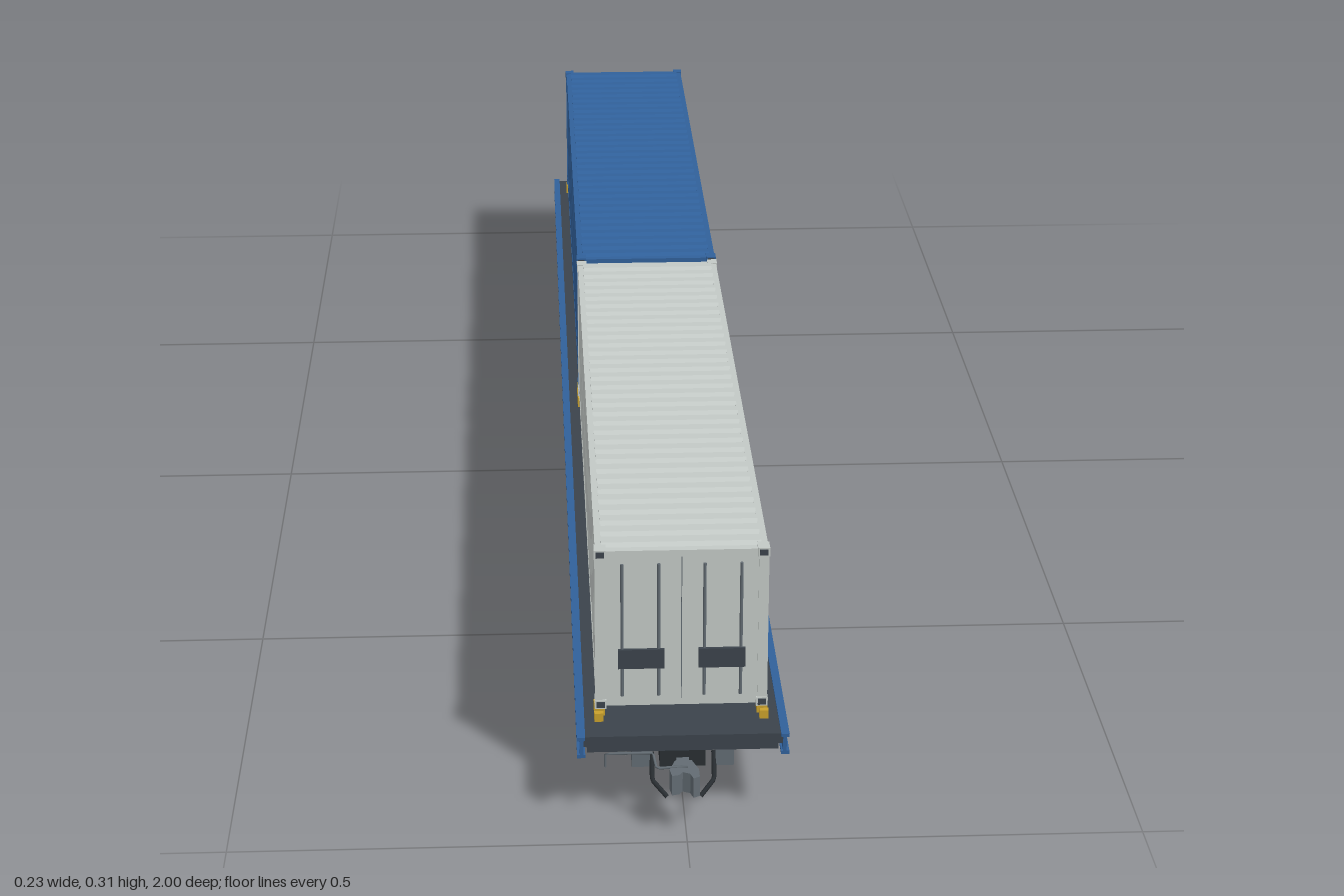
import * as THREE from 'three';

const mat = (name, color) => Object.assign(new THREE.MeshStandardMaterial({ color }), { name });

export function createModel() {
  const blue = mat('blue paint', 0x30609a), grey = mat('light grey paint', 0xc2c8c5);
  const deckMat = mat('dark deck', 0x3b434b), black = mat('black underframe', 0x292e32);
  const steel = mat('bogie steel', 0x626b72), bright = mat('bare steel', 0x9aa1a5);
  const yellow = mat('yellow fittings', 0xc9a02c);

  const root = new THREE.Group();
  root.name = 'containerWagon';
  const wagon = new THREE.Group();
  wagon.name = 'wagon';
  wagon.position.x = -0.0025;
  root.add(wagon);

  const add = (parent, name, geo, m, x = 0, y = 0, z = 0) => {
    const mesh = new THREE.Mesh(geo, m);
    mesh.name = name;
    mesh.position.set(x, y, z);
    parent.add(mesh);
    return mesh;
  };
  const box = (p, name, m, w, h, d, x, y, z) => add(p, name, new THREE.BoxGeometry(w, h, d), m, x, y, z);
  const cylX = (p, name, m, r, len, x, y, z, seg = 16) =>
    add(p, name, new THREE.CylinderGeometry(r, r, len, seg).rotateZ(Math.PI / 2), m, x, y, z);
  const tube = (p, name, m, pts, r) => {
    const path = new THREE.CurvePath();
    const v = pts.map(a => new THREE.Vector3(...a));
    for (let i = 1; i < v.length; i++) path.add(new THREE.LineCurve3(v[i - 1], v[i]));
    return add(p, name, new THREE.TubeGeometry(path, (v.length - 1) * 6, r, 6), m);
  };
  const group = (parent, name) => {
    const g = new THREE.Group();
    g.name = name;
    parent.add(g);
    return g;
  };
  const sides = [-1, 1];

  // Trapezoid rib profile as [along, height] points
  const ribs = (n, len, lo, hi) => {
    const pts = [], p = len / n;
    for (let i = 0; i < n; i++) {
      const s = -len / 2 + i * p;
      pts.push([s + p * 0.08, lo], [s + p * 0.28, hi], [s + p * 0.72, hi], [s + p * 0.92, lo]);
    }
    return pts;
  };

  // Container with its doors at the +z end
  const container = (name, paint) => {
    const g = group(wagon, name);
    const L = 0.91, zc = 0.46, y0 = 0.12, y1 = 0.312, h = y1 - y0, w = 0.095;
    const side = ribs(32, L - 0.03, 0.088, 0.0935);
    const plan = side.map(([a, o]) => new THREE.Vector2(o, a))
      .concat(side.map(([a, o]) => new THREE.Vector2(-o, -a)));
    const body = new THREE.ExtrudeGeometry(new THREE.Shape(plan), { depth: h - 0.008, bevelEnabled: false });
    add(g, 'corrugatedBody', body.rotateX(-Math.PI / 2), paint, 0, y0 + 0.003, zc);
    const roofPts = ribs(32, L - 0.02, 0.004, 0.0075).map(a => new THREE.Vector2(...a));
    roofPts.push(new THREE.Vector2(L / 2 - 0.01, 0), new THREE.Vector2(-L / 2 + 0.01, 0));
    const roof = new THREE.ExtrudeGeometry(new THREE.Shape(roofPts), { depth: 0.174, bevelEnabled: false });
    add(g, 'corrugatedRoof', roof.rotateY(-Math.PI / 2), paint, 0.087, y1 - 0.006, zc);
    for (const s of sides) {
      box(g, 'topRail', paint, 0.008, 0.008, L - 0.01, s * 0.09, y1 - 0.005, zc);
      box(g, 'bottomRail', paint, 0.008, 0.01, L - 0.01, s * 0.09, y0 + 0.006, zc);
      box(g, 'endWall', paint, 0.18, h - 0.004, 0.014, 0, (y0 + y1) / 2, zc + s * (L / 2 - 0.01));
      for (const e of sides) {
        box(g, 'cornerPost', paint, 0.011, h - 0.004, 0.013, s * 0.0892, (y0 + y1) / 2, zc + e * (L / 2 - 0.008));
        for (const y of [y0 + 0.005, y1 - 0.005]) {
          box(g, 'cornerCasting', paint, 0.013, 0.0105, 0.016, s * (w - 0.0062), y, zc + e * (L / 2 - 0.0078));
          box(g, 'castingSocket', deckMat, 0.009, 0.007, 0.002, s * (w - 0.0062), y, zc + e * (L / 2 + 0.0002));
        }
      }
      // Door locking bars and dark plates
      for (const x of [0.025, 0.065]) cylX(g, 'lockingBar', steel, 0.0018, 0.16, s * x, 0.215, zc + L / 2 - 0.001, 8).rotation.z = Math.PI / 2;
      box(g, 'doorPlate', deckMat, 0.051, 0.023, 0.004, s * 0.0442, 0.1815, zc + L / 2 + 0.001);
    }
    box(g, 'doorSeam', steel, 0.001, h - 0.02, 0.001, 0, (y0 + y1) / 2, zc + L / 2 - 0.003);
    box(g, 'containerFloor', deckMat, 0.17, 0.004, L - 0.03, 0, y0 + 0.003, zc);
    return g;
  };
  container('greyContainer', grey);
  container('blueContainer', blue).rotation.y = Math.PI;

  // Deck, side sills and underframe
  box(wagon, 'deck', deckMat, 0.222, 0.012, 1.91, 0, 0.101, 0);
  box(wagon, 'centreSpine', black, 0.1, 0.02, 1.8, 0, 0.086, 0);
  for (const s of sides) {
    box(wagon, 'sideSill', blue, 0.004, 0.022, 1.92, s * 0.111, 0.0965, 0);
    box(wagon, 'sillTopFlange', blue, 0.009, 0.004, 1.92, s * 0.1115, 0.107, 0);
    box(wagon, 'sillBottomFlange', blue, 0.009, 0.004, 1.92, s * 0.1115, 0.086, 0);
    box(wagon, 'innerStringer', black, 0.006, 0.017, 1.86, s * 0.084, 0.0875, 0);
    box(wagon, 'endBeam', deckMat, 0.21, 0.01, 0.012, 0, 0.091, s * 0.945);
    for (const z of [-0.9, -0.022, 0.022, 0.9]) {
      box(wagon, 'containerLock', yellow, 0.012, 0.013, 0.014, s * 0.09, 0.1135, z);
      if (Math.abs(z) > 0.5) box(wagon, 'lockGuide', yellow, 0.01, 0.01, 0.006, s * 0.091, 0.112, z + Math.sign(z) * 0.018);
    }
  }
  for (let i = 0; i < 19; i++) box(wagon, 'crossBeam', black, 0.212, 0.011, 0.008, 0, 0.0895, -0.882 + i * 0.098);

  // Equipment below the middle of the frame
  box(wagon, 'equipmentBox', black, 0.05, 0.026, 0.11, -0.055, 0.066, -0.01);
  box(wagon, 'brakeValve', steel, 0.03, 0.018, 0.06, 0.06, 0.071, -0.045);
  add(wagon, 'airReservoir', new THREE.CapsuleGeometry(0.014, 0.08, 4, 14).rotateX(Math.PI / 2), steel, 0.045, 0.068, 0.01);

  // Wheel profile: tread outside, flange inside
  const wheelGeo = new THREE.LatheGeometry([
    [0.001, -0.004], [0.012, -0.005], [0.014, -0.002], [0.026, -0.002], [0.028, -0.005],
    [0.0355, -0.005], [0.0355, -0.003], [0.033, -0.0015], [0.032, 0.006],
    [0.028, 0.006], [0.026, 0.002], [0.014, 0.003], [0.012, 0.007], [0.001, 0.007],
  ].map(a => new THREE.Vector2(...a)), 28).rotateZ(-Math.PI / 2);

  // Side frame outline seen from the side, with two spring openings
  const frame = new THREE.Shape([
    [-0.105, 0.043], [-0.088, 0.043], [-0.086, 0.05], [-0.06, 0.05], [-0.035, 0.03], [0.035, 0.03],
    [0.06, 0.05], [0.086, 0.05], [0.088, 0.043], [0.105, 0.043], [0.107, 0.058], [0.06, 0.075],
    [-0.06, 0.075], [-0.107, 0.058],
  ].map(a => new THREE.Vector2(...a)));
  for (const s of sides) frame.holes.push(new THREE.Path(
    [[0.03, 0.04], [0.052, 0.058], [0.03, 0.064]].map(([x, y]) => new THREE.Vector2(s * x, y))));
  const frameGeo = new THREE.ExtrudeGeometry(frame, { depth: 0.012, bevelEnabled: false })
    .rotateY(-Math.PI / 2).translate(0.006, 0, 0);

  const bogie = z => {
    const g = group(wagon, 'bogie');
    g.position.z = z;
    box(g, 'bolster', steel, 0.15, 0.016, 0.032, 0, 0.068, 0);
    add(g, 'pivot', new THREE.CylinderGeometry(0.02, 0.02, 0.012, 18), black, 0, 0.077, 0);
    for (const a of sides) {
      cylX(g, 'axle', steel, 0.007, 0.15, 0, 0.0355, a * 0.073);
      box(g, 'brakeBeam', steel, 0.11, 0.008, 0.008, 0, 0.038, a * 0.029);
      for (const s of sides) {
        const wheel = add(g, 'wheel', wheelGeo, bright, s * 0.0625, 0.0355, a * 0.073);
        if (s < 0) wheel.rotation.y = Math.PI;
        cylX(g, 'axleBox', steel, 0.0125, 0.022, s * 0.08, 0.0405, a * 0.073);
        cylX(g, 'axleCap', bright, 0.007, 0.004, s * 0.0915, 0.0405, a * 0.073);
        box(g, 'brakeShoe', black, 0.01, 0.022, 0.005, s * 0.062, 0.038, a * 0.034);
      }
    }
    for (const s of sides) {
      add(g, 'sideFrame', frameGeo, steel, s * 0.079, 0, 0);
      box(g, 'sideBearer', black, 0.014, 0.012, 0.03, s * 0.07, 0.08, 0);
      for (const d of [-0.016, 0, 0.016])
        add(g, 'spring', new THREE.CylinderGeometry(0.006, 0.006, 0.03, 10), black, s * 0.083, 0.05, d);
    }
  };
  sides.forEach(s => bogie(s * 0.726));

  // Couplers, hoses and release levers at each end
  const knuckle = new THREE.Shape([
    [-0.009, 0], [0.009, 0], [0.016, 0.02], [0.016, 0.036], [0.009, 0.04], [0.006, 0.03],
    [-0.002, 0.026], [-0.006, 0.032], [-0.014, 0.034], [-0.016, 0.02],
  ].map(a => new THREE.Vector2(...a)));
  for (const s of sides) {
    const g = group(wagon, 'endGear');
    if (s < 0) g.rotation.y = Math.PI;
    box(g, 'drawGearBox', black, 0.05, 0.022, 0.08, 0, 0.074, 0.905);
    box(g, 'couplerShank', steel, 0.014, 0.014, 0.06, 0, 0.067, 0.94);
    add(g, 'couplerHead', new THREE.ExtrudeGeometry(knuckle, { depth: 0.024, bevelEnabled: false }).rotateX(Math.PI / 2),
      steel, 0, 0.079, 0.96);
    for (const h of sides) {
      tube(g, 'airHose', black, [[h * 0.034, 0.082, 0.945], [h * 0.034, 0.055, 0.96], [h * 0.018, 0.042, 0.975]], 0.0026);
      box(g, 'bufferBracket', steel, 0.02, 0.02, 0.02, h * 0.046, 0.076, 0.94);
    }
    tube(g, 'releaseLever', steel, [[0.004, 0.08, 0.975], [-0.03, 0.078, 0.975], [-0.033, 0.086, 0.955],
      [-0.085, 0.086, 0.955], [-0.085, 0.07, 0.955]], 0.0015);
  }

  // Ladder and handrail at the rear left corner
  const ladder = group(wagon, 'ladder');
  for (const z of [-0.92, -0.965])
    tube(ladder, 'ladderRail', bright, [[0.117, 0.04, z], [0.117, 0.138, z], [0.106, 0.153, z]], 0.002);
  for (const y of [0.045, 0.068, 0.091, 0.12, 0.138])
    tube(ladder, 'rung', bright, [[0.117, y, -0.92], [0.117, y, -0.965]], 0.0018);
  tube(ladder, 'topHandrail', bright, [[0.106, 0.152, -0.92], [0.106, 0.152, -0.965], [0.104, 0.14, -0.976], [0.104, 0.1, -0.956]], 0.0018);

  // Yellow brake handwheel at the rear
  const hand = group(wagon, 'handwheel');
  hand.position.set(0.05, 0.135, -0.945);
  add(hand, 'rim', new THREE.TorusGeometry(0.021, 0.0022, 8, 28), yellow);
  for (let i = 0; i < 3; i++) box(hand, 'spoke', yellow, 0.042, 0.003, 0.002, 0, 0, 0).rotation.z = i * Math.PI / 3;
  add(hand, 'hub', new THREE.CylinderGeometry(0.005, 0.005, 0.01, 12).rotateX(Math.PI / 2), yellow);
  box(hand, 'wheelStand', deckMat, 0.008, 0.034, 0.005, 0, -0.013, 0.008);

  return root;
}
